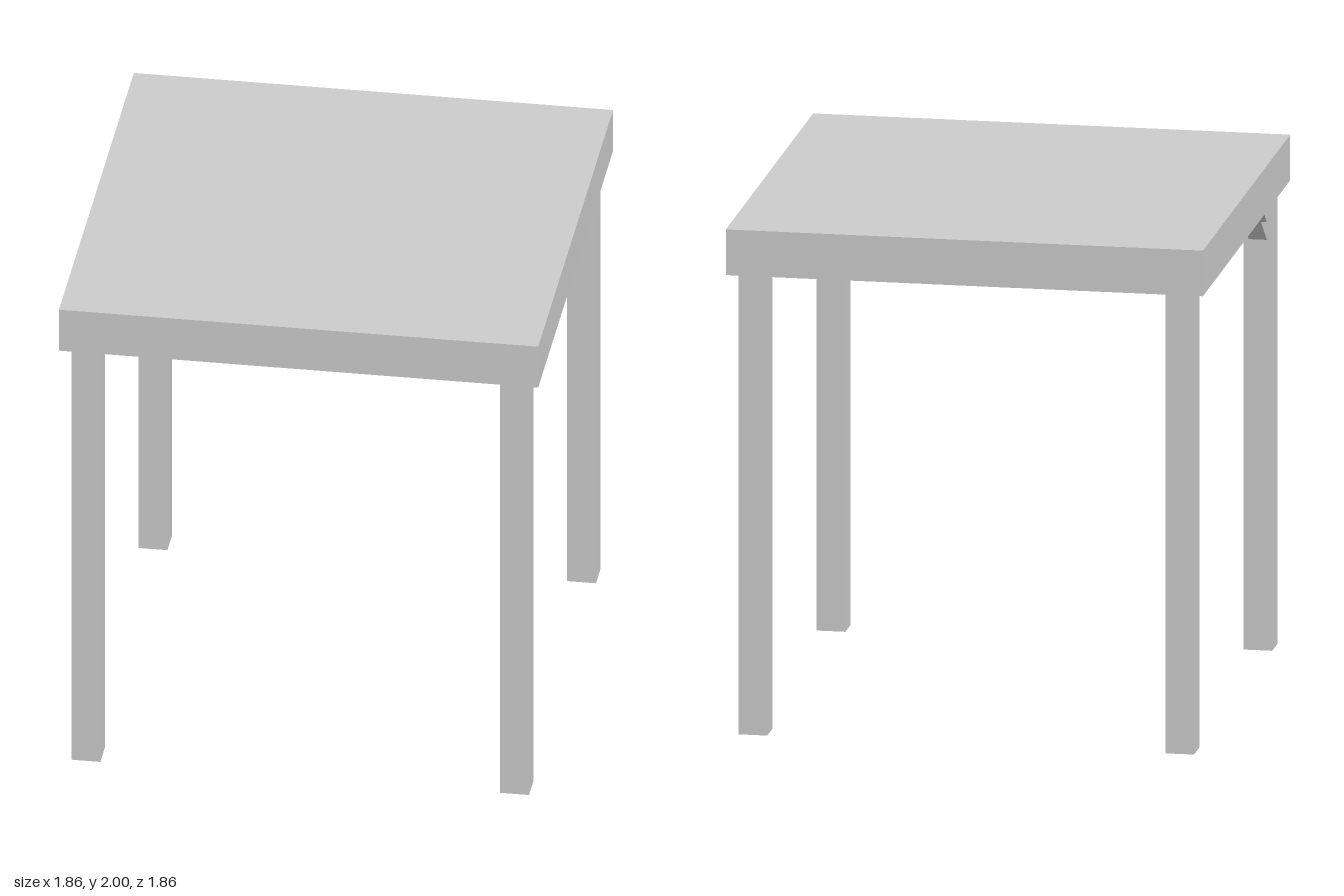
import * as THREE from 'three';

const HALF = 0.928;      // half width of the top
const INNER = 0.772;     // inner face of the apron
const APRON_Y = 1.82;    // underside of the apron
const SLAB_Y = 1.91;     // underside of the slab
const LEG = 0.83, LEG_W = 0.112;
const BRACE_W = 0.07;

// Strip facing down and inwards, from a leg at height y up to the apron.
function braceStrip(material, y, reach) {
  const start = LEG - LEG_W / 2;
  const run = start - reach, rise = APRON_Y - y;
  const geometry = new THREE.PlaneGeometry(Math.hypot(run, rise), BRACE_W);
  geometry.rotateX(Math.PI / 2);
  geometry.rotateZ(-Math.atan2(rise, run));
  geometry.translate((start + reach) / 2, (y + APRON_Y) / 2, LEG);
  return new THREE.Mesh(geometry, material);
}

export function createModel() {
  const model = new THREE.Group();
  const material = new THREE.MeshStandardMaterial({ color: 0xcccccc, flatShading: true });

  // Square top
  const slab = new THREE.Mesh(new THREE.BoxGeometry(2 * HALF, 2 - SLAB_Y, 2 * HALF), material);
  slab.position.y = (2 + SLAB_Y) / 2;
  slab.name = 'tableTop';
  model.add(slab);

  // Apron: a square frame below the top
  const frame = new THREE.Shape();
  frame.moveTo(-HALF, -HALF).lineTo(HALF, -HALF).lineTo(HALF, HALF).lineTo(-HALF, HALF).closePath();
  const hole = new THREE.Path();
  hole.moveTo(-INNER, -INNER).lineTo(-INNER, INNER).lineTo(INNER, INNER).lineTo(INNER, -INNER).closePath();
  frame.holes.push(hole);
  const apronGeometry = new THREE.ExtrudeGeometry(frame, { depth: SLAB_Y - APRON_Y, bevelEnabled: false });
  apronGeometry.rotateX(-Math.PI / 2);
  const apron = new THREE.Mesh(apronGeometry, material);
  apron.position.y = APRON_Y;
  apron.name = 'apron';
  model.add(apron);

  // Four corners, each a leg with a pair of braces along both sides
  for (let i = 0; i < 4; i++) {
    const corner = new THREE.Group();
    corner.name = 'legCorner';
    corner.rotation.y = i * Math.PI / 2;

    const leg = new THREE.Mesh(new THREE.BoxGeometry(LEG_W, APRON_Y, LEG_W), material);
    leg.position.set(LEG, APRON_Y / 2, LEG);
    leg.name = 'leg';
    corner.add(leg);

    for (const side of [0, 1]) {
      const brace = new THREE.Group();
      brace.name = 'cornerBrace';
      brace.add(braceStrip(material, 1.62, 0.53), braceStrip(material, 1.69, 0.617));
      brace.children.forEach((strip) => { strip.name = 'braceStrip'; });
      if (side) {
        // The second brace belongs to the neighbouring side: swap x and z
        brace.children.forEach((strip) => {
          const p = strip.geometry.attributes.position;
          for (let k = 0; k < p.count; k++) p.setXYZ(k, p.getZ(k), p.getY(k), p.getX(k));
          const index = strip.geometry.index.array;
          index.reverse();
          strip.geometry.computeVertexNormals();
        });
      }
      corner.add(brace);
    }
    model.add(corner);
  }
  return model;
}
